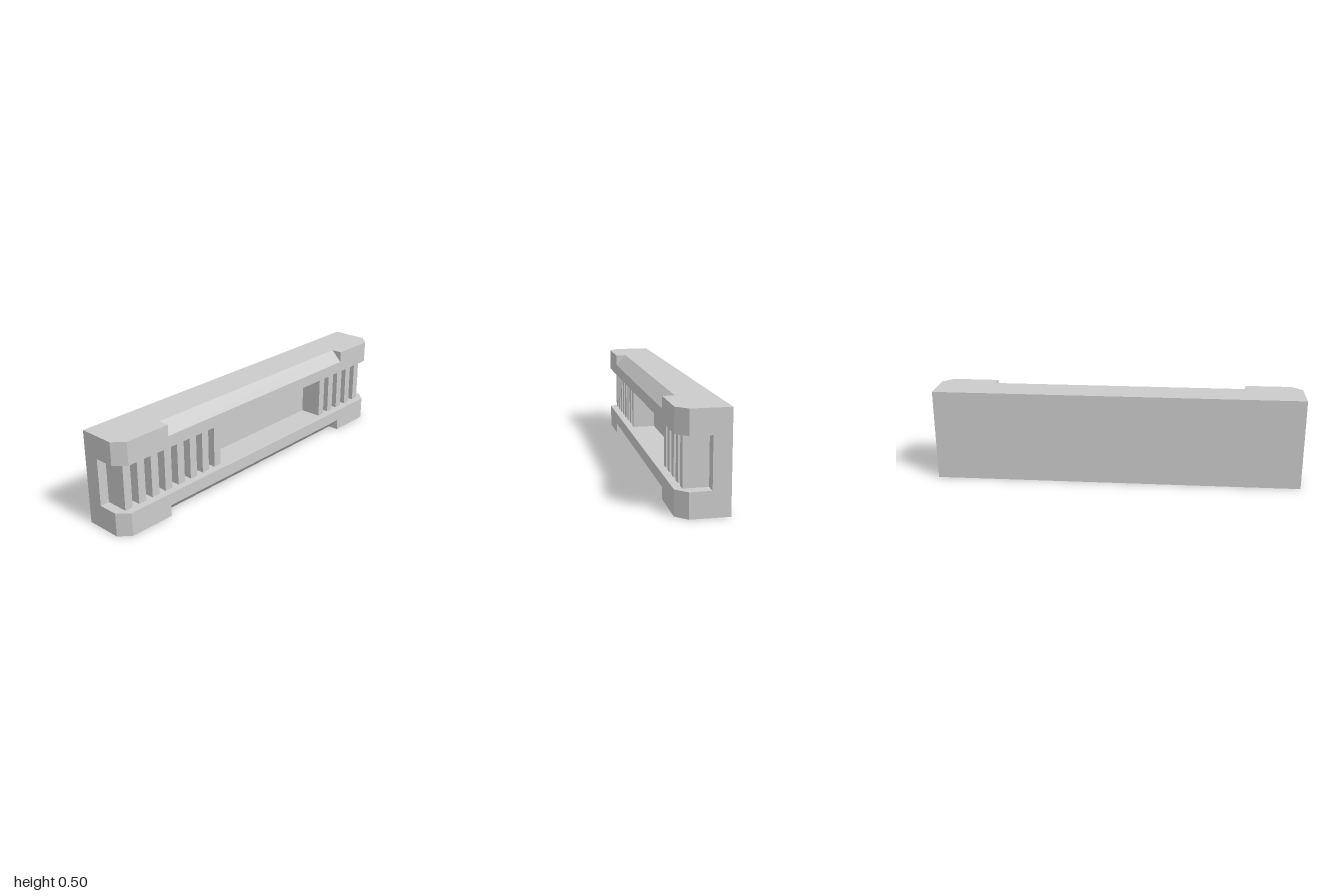
import * as THREE from 'three';

const HEIGHT = 0.5, BACK = -0.125, FLOOR = -0.037, SLOT_LOW = 0.126, SLOT_HIGH = 0.378;

// C-shaped cross-section: rails reach to x = tip, outer rail edges bevelled by cut
function section(tip, cut) {
  return [
    [BACK, 0], [tip - cut, 0], [tip, cut], [tip, SLOT_LOW], [FLOOR, SLOT_LOW],
    [FLOOR, SLOT_HIGH], [tip, SLOT_HIGH], [tip, HEIGHT - cut], [tip - cut, HEIGHT], [BACK, HEIGHT],
  ];
}

// Join the cross-sections along z and cap both ends
function loft(stations) {
  const rings = stations.map(([z, tip, cut]) => section(tip, cut).map(([x, y]) => new THREE.Vector3(x, y, z)));
  const positions = [];
  const addTriangle = (a, b, c) => {
    if (new THREE.Triangle(a, b, c).getArea() < 1e-8) return;
    for (const p of [a, b, c]) positions.push(p.x, p.y, p.z);
  };
  for (let s = 0; s < rings.length - 1; s++) {
    const near = rings[s], far = rings[s + 1];
    near.forEach((p, i) => {
      const j = (i + 1) % near.length;
      addTriangle(p, far[i], far[j]);
      addTriangle(p, far[j], near[j]);
    });
  }
  const first = rings[0], last = rings[rings.length - 1];
  // Cap without the doubled corner points of the unbevelled section
  const corners = [0, 1, 3, 4, 5, 6, 7, 9];
  const outline = corners.map((i) => new THREE.Vector2(first[i].x, first[i].y));
  for (const [a, b, c] of THREE.ShapeUtils.triangulateShape(outline, [])) {
    addTriangle(first[corners[a]], first[corners[b]], first[corners[c]]);
    addTriangle(last[corners[c]], last[corners[b]], last[corners[a]]);
  }
  const geometry = new THREE.BufferGeometry();
  geometry.setAttribute('position', new THREE.Float32BufferAttribute(positions, 3));
  geometry.computeVertexNormals();
  return geometry;
}

export function createModel() {
  const model = new THREE.Group();
  model.name = 'slottedRail';
  const material = new THREE.MeshStandardMaterial({ color: 0xcccccc, flatShading: true });

  // Channel body with chamfered ends and bevelled middle edges
  const half = [[1, 0.07, 0], [0.945, 0.125, 0], [0.693, 0.125, 0], [0.693, 0.125, 0.06]];
  const mirrored = half.map(([z, tip, cut]) => [-z, tip, cut]).reverse();
  const body = new THREE.Mesh(loft([...half, ...mirrored]), material);
  body.name = 'channelBody';
  model.add(body);

  // Two rows of upright ribs inside the channel
  const pitch = 0.0865, ribWidth = 0.045, ribFront = 0.086;
  const ribGeometry = new THREE.BoxGeometry(ribFront - FLOOR, SLOT_HIGH - SLOT_LOW, ribWidth);
  function addRibs(name, start, count) {
    const row = new THREE.Group();
    row.name = name;
    for (let i = 0; i < count; i++) {
      const rib = new THREE.Mesh(ribGeometry, material);
      rib.name = 'rib';
      rib.position.set((ribFront + FLOOR) / 2, (SLOT_HIGH + SLOT_LOW) / 2, start - i * pitch - ribWidth / 2);
      row.add(rib);
    }
    model.add(row);
  }
  addRibs('frontRibs', 0.95, 8);
  addRibs('backRibs', -0.55, 5);

  return model;
}
